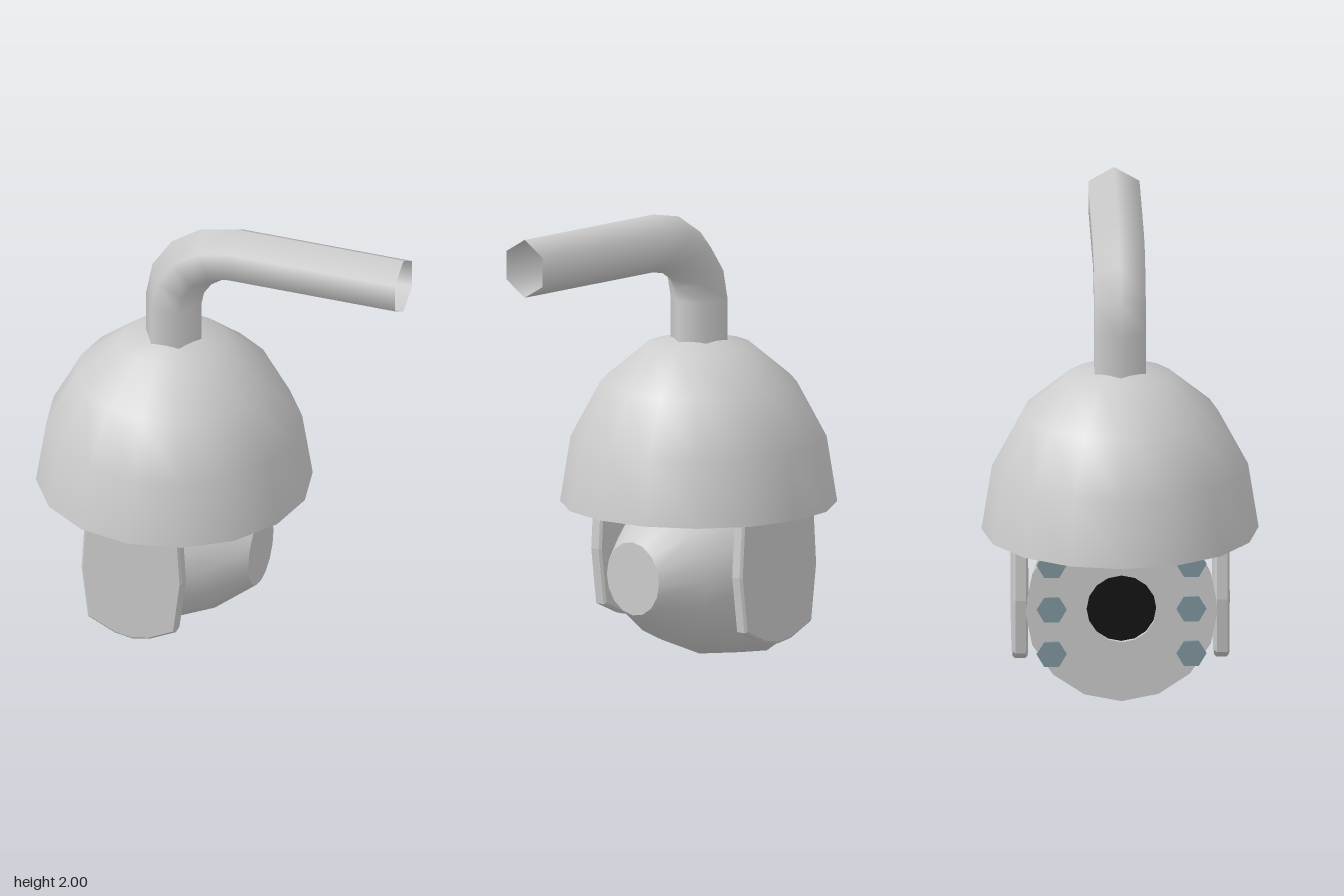
import * as THREE from 'three';
import { toCreasedNormals } from 'three/addons/utils/BufferGeometryUtils.js';

const AXIS_X = -0.225; // vertical centre line of the dome and pipe stem
const BODY_Y = 0.42;   // height of the camera body's axis

export function createModel() {
  const model = new THREE.Group();
  const grey = new THREE.MeshStandardMaterial({ color: 0xcccccc });
  grey.name = 'light grey';
  const pipeGrey = grey.clone();
  pipeGrey.name = 'pipe grey';
  pipeGrey.side = THREE.DoubleSide; // the pipe is open
  const black = new THREE.MeshStandardMaterial({ color: 0x141414 });
  black.name = 'lens black';
  const blue = new THREE.MeshStandardMaterial({ color: 0x8199a1 });
  blue.name = 'lamp blue grey';

  const add = (name, geometry, material, x = 0, y = 0, z = 0, parent = model) => {
    const mesh = new THREE.Mesh(geometry, material);
    mesh.name = name;
    mesh.position.set(x, y, z);
    parent.add(mesh);
    return mesh;
  };
  const lathe = (points) =>
    toCreasedNormals(new THREE.LatheGeometry(points.map(([r, y]) => new THREE.Vector2(r, y)), 16), 0.6);

  // Hollow dome: inner shell downwards, rim, then outer shell upwards
  const arc = (r, h) => [0, 1, 2, 3, 4].map((i) => {
    const a = (i * Math.PI) / 8;
    return [i === 4 ? 0 : r * Math.cos(a), h * Math.sin(a)];
  });
  add('dome', lathe([...arc(0.55, 0.7).reverse(), ...arc(0.595, 0.745)]), grey, AXIS_X, 0.705, 0);

  // Bent mounting pipe: stem, elbow and horizontal run
  const pipe = new THREE.Group();
  pipe.name = 'mountingPipe';
  model.add(pipe);
  const R = 0.127, BEND = 0.278, bendY = 1.595;
  const tube = (length) => new THREE.CylinderGeometry(R, R, length, 6, 1, true, Math.PI / 2);
  const bendX = AXIS_X - 0.003 + BEND;
  add('pipeStem', tube(0.2), pipeGrey, bendX - BEND, bendY - 0.1, 0, pipe);
  add('pipeElbow', new THREE.TorusGeometry(BEND, R, 6, 4, Math.PI / 2).rotateZ(Math.PI / 2),
    pipeGrey, bendX, bendY, 0, pipe);
  const run = 0.82 - bendX;
  add('pipeRun', tube(run).rotateZ(-Math.PI / 2), pipeGrey, bendX + run / 2, bendY + BEND, 0, pipe);

  // Tapered camera body lying along x, with a shallow lens recess
  const body = lathe([
    [0.15, -0.46], [0.15, -0.48], [0.415, -0.48], [0.385, -0.23],
    [0.29, 0], [0.16, 0.17], [0, 0.17],
  ]).rotateZ(-Math.PI / 2);
  add('cameraBody', body, grey, 0, BODY_Y, 0);
  add('lens', new THREE.CircleGeometry(0.15, 16).rotateY(-Math.PI / 2), black, -0.461, BODY_Y, 0);

  // Six hexagonal lamps around the lens
  const lamp = new THREE.CylinderGeometry(0.064, 0.064, 0.02, 6).rotateZ(Math.PI / 2);
  for (const z of [-0.3, 0.3]) {
    for (const dy of [-0.2, 0, 0.2]) add('lamp', lamp, blue, -0.481, BODY_Y + dy, z);
  }

  // Pair of bevelled side arms
  const half = [[0.2, 0.93], [0.215, 0.7], [0.23, 0.46], [0.2, 0.215], [0.08, 0.157]];
  const outline = [
    ...half.map(([x, y]) => new THREE.Vector2(-x, y)),
    new THREE.Vector2(0, 0.143),
    ...half.map(([x, y]) => new THREE.Vector2(x, y)).reverse(),
  ];
  const arm = new THREE.ExtrudeGeometry(new THREE.Shape(outline), {
    depth: 0.045, bevelThickness: 0.01, bevelSize: 0.01, bevelOffset: -0.01, bevelSegments: 1,
  }).translate(0, 0, -0.0225);
  for (const s of [-1, 1]) add('sideArm', arm, grey, -0.255, 0, s * 0.4325);

  return model;
}
